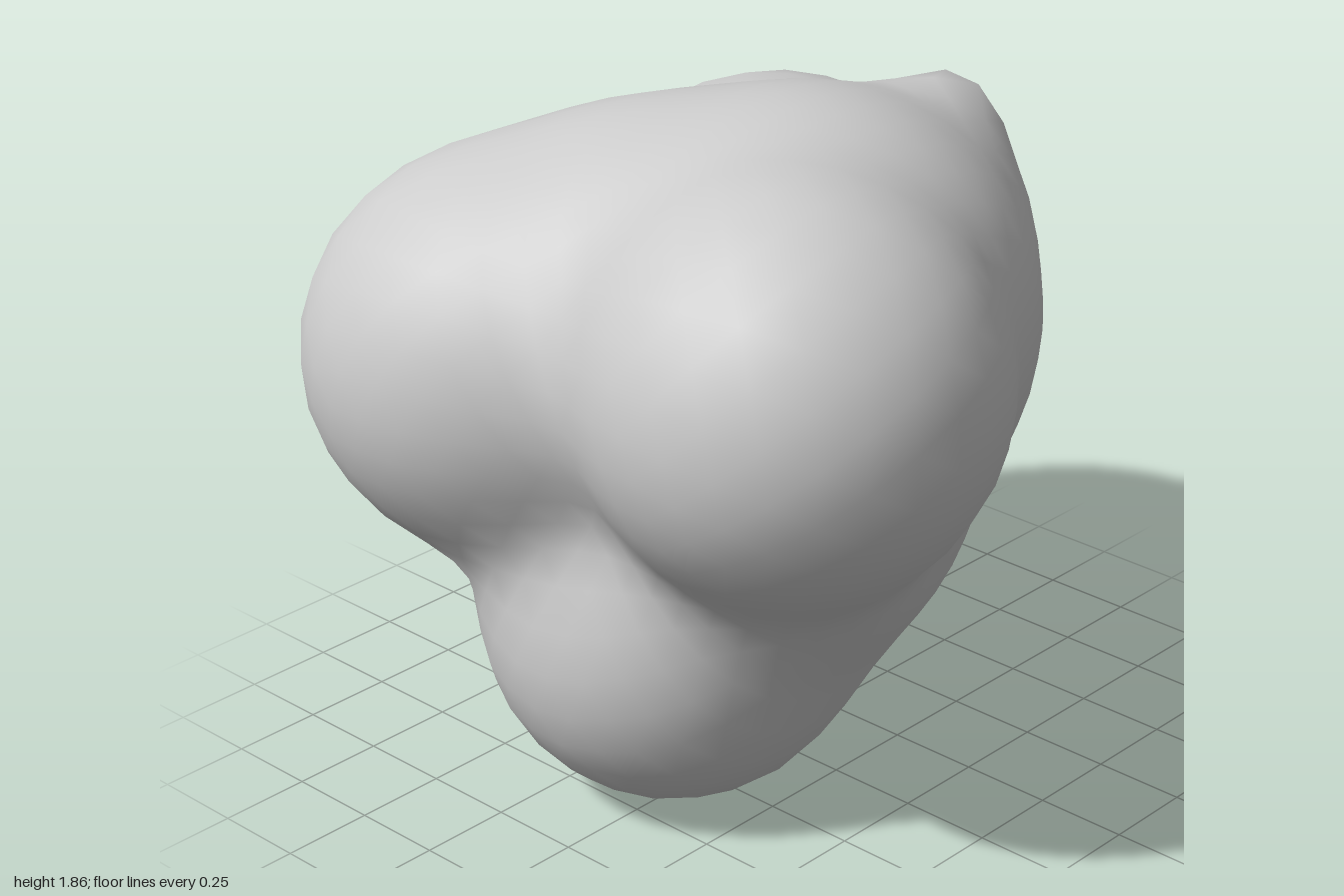
import * as THREE from 'three';
import { mergeVertices } from 'three/addons/utils/BufferGeometryUtils.js';

// Lobes of the blob: x, y, z, radius
const LOBES = [
  [-0.41, 1.31, 0.46, 0.525],  // front left
  [-0.47, 1.17, -0.46, 0.53],  // back left
  [0.455, 1.12, -0.40, 0.545], // back right
  [-0.29, 0.50, -0.06, 0.50],  // foot
  [0.02, 1.27, 0.12, 0.585],   // core
  [-0.22, 1.33, -0.20, 0.47],  // ridge from core to back left
  [0.03, 0.78, 0.12, 0.40],    // slope from core to foot
  [-0.26, 0.82, 0.30, 0.32],   // slope from front left to foot
  [0.15, 0.80, -0.28, 0.34],   // slope from back right to foot
  [0.45, 0.95, -0.30, 0.36],   // underside of back right
  [0.42, 1.35, 0.06, 0.34],    // shoulder
  [0.61, 1.65, 0.09, 0.09],    // peak on the shoulder
];
const BLEND = 0.075;

// Smoothly blended distance to all lobes
function distance(p) {
  let sum = 0;
  for (const [x, y, z, r] of LOBES) {
    const d = Math.hypot(p.x - x, p.y - y, p.z - z) - r;
    sum += Math.exp(-d / BLEND);
  }
  return -BLEND * Math.log(sum);
}

export function createModel() {
  const group = new THREE.Group();
  group.name = 'blob';

  // Welded icosphere, each vertex pulled inward until it meets the surface
  let geo = new THREE.IcosahedronGeometry(1, 9);
  geo.deleteAttribute('uv');
  geo.deleteAttribute('normal');
  geo = mergeVertices(geo, 1e-4);
  const centre = new THREE.Vector3(-0.08, 1.06, -0.02);
  const pos = geo.attributes.position;
  const dir = new THREE.Vector3();
  const p = new THREE.Vector3();
  for (let i = 0; i < pos.count; i++) {
    dir.fromBufferAttribute(pos, i).normalize();
    let t = 2;
    for (let step = 0; step < 80; step++) {
      const d = distance(p.copy(centre).addScaledVector(dir, t));
      if (d < 1e-4) break;
      t -= d;
    }
    p.copy(centre).addScaledVector(dir, t);
    pos.setXYZ(i, p.x, p.y, p.z);
  }
  geo.computeVertexNormals();

  const grey = new THREE.MeshStandardMaterial({ color: 0xcccccc });
  grey.name = 'light grey';
  const body = new THREE.Mesh(geo, grey);
  body.name = 'body';
  group.add(body);
  return group;
}
